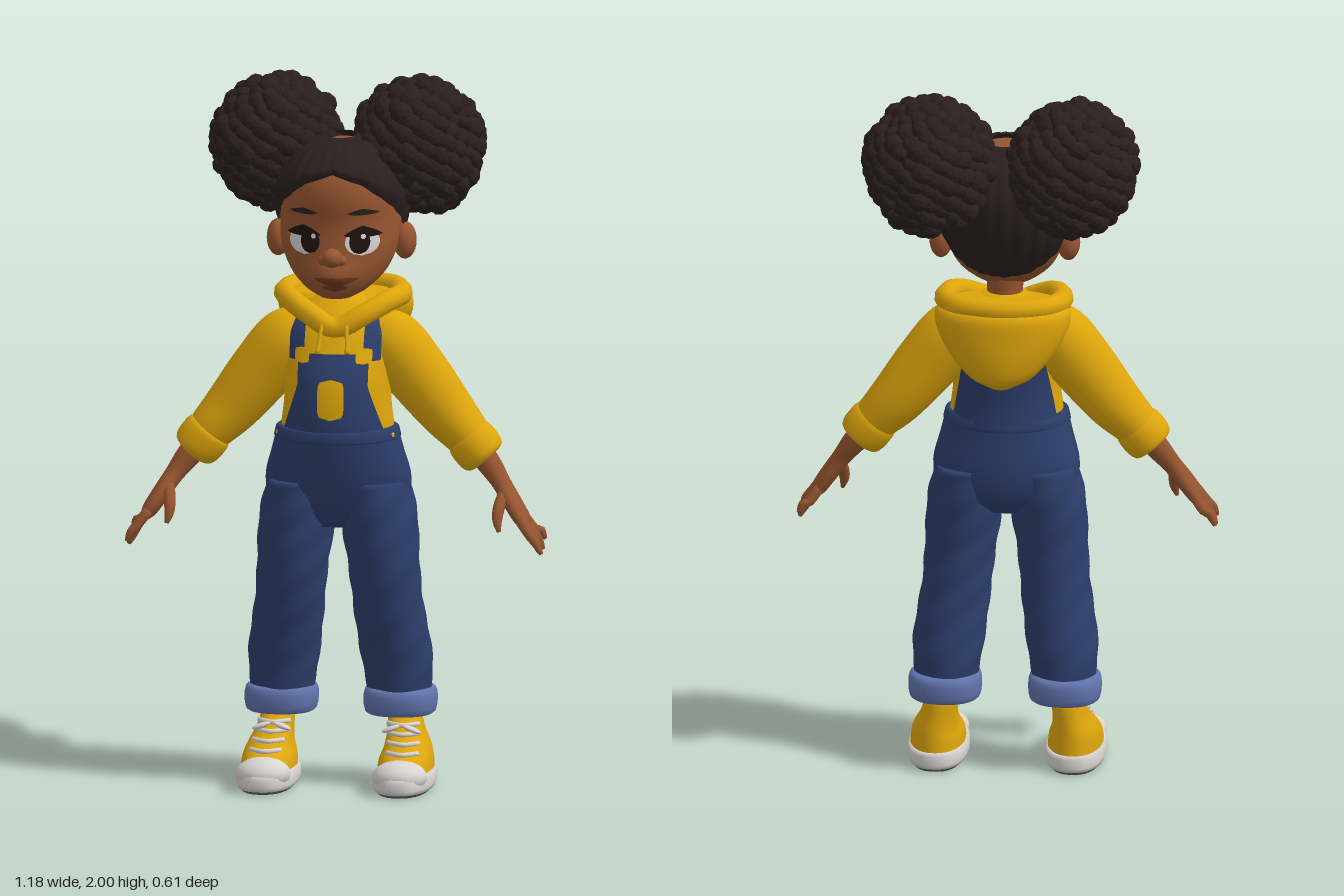
import * as THREE from 'three';
import { mergeGeometries } from 'three/addons/utils/BufferGeometryUtils.js';

const V = (x, y, z) => new THREE.Vector3(x, y, z);
const mat = (name, color, side = THREE.FrontSide) => new THREE.MeshStandardMaterial({ name, color, side });
const TAU = Math.PI * 2;

// Closed skin over rings of points, with capped ends
function skin(rings) {
  const n = rings[0].length, m = rings.length, pos = [], idx = [];
  rings.forEach(r => r.forEach(p => pos.push(p.x, p.y, p.z)));
  for (let i = 0; i < m - 1; i++) for (let j = 0; j < n; j++) {
    const a = i * n + j, b = i * n + (j + 1) % n, c = a + n, d = b + n;
    idx.push(a, c, b, b, c, d);
  }
  [0, m - 1].forEach((r, e) => {
    const c = rings[r].reduce((s, p) => s.add(p), V(0, 0, 0)).divideScalar(n), k = pos.length / 3;
    pos.push(c.x, c.y, c.z);
    for (let j = 0; j < n; j++) {
      const a = r * n + j, b = r * n + (j + 1) % n;
      e ? idx.push(k, b, a) : idx.push(k, a, b);
    }
  });
  const g = new THREE.BufferGeometry();
  g.setAttribute('position', new THREE.Float32BufferAttribute(pos, 3));
  g.setIndex(idx);
  g.computeVertexNormals();
  return g;
}

// Upright form from rows [y, centreX, halfWidth, backZ, frontZ], smoothed k times between rows
function form(rows, { k = 4, power = 2, wrinkle = 0, bump = () => 0 } = {}) {
  const A = new THREE.CatmullRomCurve3(rows.map(r => V(r[0], r[1], r[2])), false, 'catmullrom');
  const B = new THREE.CatmullRomCurve3(rows.map(r => V(r[3], r[4], 0)), false, 'catmullrom');
  const N = (rows.length - 1) * k, fine = [];
  for (let i = 0; i <= N; i++) {
    const a = A.getPoint(i / N), b = B.getPoint(i / N);
    fine.push([a.x, a.y, a.z, b.x, b.y]);
  }
  const at = y => {
    let i = 0;
    while (i < N - 1 && fine[i + 1][0] < y) i++;
    const p = fine[i], q = fine[i + 1], t = THREE.MathUtils.clamp((y - p[0]) / (q[0] - p[0]), 0, 1);
    return p.map((v, j) => v + (q[j] - v) * t);
  };
  const sp = v => Math.sign(v) * Math.abs(v) ** (2 / power);
  const point = (a, row, off = 0) => {
    const [y, cx, hw, zb, zf] = row, f = 1 + wrinkle * Math.sin(3 * a + y * 38) * Math.sin(y * 21 + a);
    const x = cx + (hw + off) * f * sp(Math.cos(a));
    const z = (zb + zf) / 2 + ((zf - zb) / 2 + off) * f * sp(Math.sin(a));
    return V(x, y, z + (Math.sin(a) > 0 ? bump(x, y) : 0));
  };
  const zAt = (x, y, side) => {
    const [, cx, hw, zb, zf] = at(y);
    return (zb + zf) / 2 + side * (zf - zb) / 2 * Math.sqrt(Math.max(0.03, 1 - ((x - cx) / hw) ** 2)) + (side > 0 ? bump(x, y) : 0);
  };
  const geo = (seg = 32) => skin(fine.map(r => Array.from({ length: seg }, (_, j) => point(j / seg * TAU, r))));
  return { at, point, zAt, geo };
}

// Limb along sections [x, y, z, radius across, radius in z]
function limb(secs, k = 4, seg = 16) {
  const A = new THREE.CatmullRomCurve3(secs.map(s => V(s[0], s[1], s[2])), false, 'catmullrom');
  const B = new THREE.CatmullRomCurve3(secs.map(s => V(s[3], s[4] ?? s[3], 0)), false, 'catmullrom');
  const N = (secs.length - 1) * k, rings = [];
  for (let i = 0; i <= N; i++) {
    const c = A.getPoint(i / N), r = B.getPoint(i / N), t = A.getTangent(i / N);
    const v = V(0, 0, 1).addScaledVector(t, -t.z).normalize(), u = t.clone().cross(v);
    rings.push(Array.from({ length: seg }, (_, j) => c.clone()
      .addScaledVector(u, r.x * Math.cos(j / seg * TAU)).addScaledVector(v, r.y * Math.sin(j / seg * TAU))));
  }
  return skin(rings);
}

// Thin panel following a form; w(t) is the half-width from bottom to top
function panel(f, side, cx, y0, y1, w, off, bend = 0) {
  const g = new THREE.PlaneGeometry(2, 1, 12, 14), p = g.attributes.position;
  for (let i = 0; i < p.count; i++) {
    const u = p.getX(i), t = p.getY(i) + 0.5, x = cx + side * u * w(t);
    const y = y0 + (y1 - y0) * t + bend * u * u;
    p.setXYZ(i, x, y, f.zAt(x, y, side) + side * off);
  }
  g.computeVertexNormals();
  return g;
}
const oval = (r, e = 2) => t => r * Math.max(0, 1 - Math.abs(2 * t - 1) ** e) ** (1 / e);

export function createModel() {
  const root = new THREE.Group();
  const M = {
    hair: mat('dark hair', 0x2a1f1e, THREE.DoubleSide), skin: mat('brown skin', 0x96552f),
    yellow: mat('yellow cloth', 0xdea60c), denim: mat('blue denim', 0x2c3e6b, THREE.DoubleSide),
    cuff: mat('light denim', 0x6073ab), white: mat('white rubber', 0xd8d4d2),
    sole: mat('grey sole', 0x4c4a4e), dark: mat('eye brown', 0x1f1210), lip: mat('lip brown', 0x6e3722),
  };
  const add = (name, geo, m) => {
    const o = new THREE.Mesh(geo, m);
    o.name = name;
    root.add(o);
    return o;
  };
  const ball = (name, m, x, y, z, a, b, c) => {
    const o = add(name, new THREE.SphereGeometry(1, 20, 14), m);
    o.position.set(x, y, z);
    o.scale.set(a, b, c);
    return o;
  };

  // Head with a soft muzzle, and the neck
  const head = form([[1.405, 0, .045, .06, .175], [1.43, 0, .09, .0, .2], [1.48, 0, .138, -.07, .21], [1.55, 0, .166, -.11, .208],
    [1.62, 0, .17, -.14, .203], [1.7, 0, .165, -.15, .213], [1.77, 0, .135, -.13, .19], [1.82, 0, .08, -.08, .12], [1.835, 0, .02, -.03, .05]],
    { bump: (x, y) => .02 * Math.exp(-(((y - 1.475) / .035) ** 2) - (x / .06) ** 2) });
  add('head', head.geo(40), M.skin);
  add('neck', limb([[0, 1.3, .02, .055], [0, 1.38, .03, .05], [0, 1.48, .03, .055]]), M.skin);
  ball('nose', M.skin, 0, 1.53, .217, .03, .027, .033);
  add('mouth', panel(head, 1, .01, 1.447, 1.459, oval(.062), .004, .016), M.lip);
  add('lowerLip', panel(head, 1, .008, 1.432, 1.446, oval(.035), .004, .006), M.lip);
  for (const s of [1, -1]) {
    ball('ear', M.skin, s * .18, 1.55, .02, .033, .053, .042);
    ball('nostril', M.skin, s * .024, 1.522, .205, .017, .016, .02);
    add('eyeWhite', panel(head, 1, s * .082, 1.535, 1.61, oval(.046), .004), M.white);
    const ix = s * .07 + .006;
    add('iris', panel(head, 1, ix, 1.54, 1.608, oval(.028), .007), M.dark);
    add('eyeGlint', panel(head, 1, ix + .01, 1.582, 1.597, oval(.007), .009), M.white);
    add('eyelash', panel(head, 1, s * .084, 1.607, 1.62, oval(.05), .008, -.02), M.dark);
    add('eyebrow', panel(head, 1, s * .085, 1.658, 1.669, oval(.042), .005, -.008), M.hair);
  }

  // Hair combed back over the skull, lower edge following the hairline
  const cap = new THREE.PlaneGeometry(1, 1, 96, 14), cp = cap.attributes.position;
  const line = [1.765, 1.735, 1.67, 1.6, 1.52, 1.475, 1.465];
  for (let i = 0; i < cp.count; i++) {
    const b = cp.getX(i) * TAU, t = cp.getY(i) + .5, h = Math.min(Math.abs(b) / Math.PI * 6, 5.999), q = Math.floor(h);
    const y0 = line[q] + (line[q + 1] - line[q]) * (h - q), y = y0 + (1.835 - y0) * t;
    const off = .006 + .016 * Math.min(1, t * 5) + .003 * Math.sin(b * 24);
    const p = head.point(Math.PI / 2 - b, head.at(y), off);
    cp.setXYZ(i, p.x, p.y + .012 * t, p.z);
  }
  cap.computeVertexNormals();
  add('combedHair', cap, M.hair);

  // Two puffs made of faceted curls
  let seed = 7;
  const rnd = () => (seed = (seed * 16807) % 2147483647) / 2147483647;
  for (const s of [1, -1]) {
    const curls = [], n = 230, c = V(s * .2, 1.8, -.093);
    for (let i = 0; i < n; i++) {
      const y = 1 - 2 * (i + .5) / n, r = Math.sqrt(1 - y * y), a = i * 2.39996, d = .95 + rnd() * .09;
      const g = new THREE.IcosahedronGeometry(.026 + rnd() * .01, 1);
      g.scale(1, .75 + rnd() * .4, 1).rotateX(rnd() * 6).rotateY(rnd() * 6);
      g.translate(c.x + r * Math.cos(a) * .162 * d, c.y + y * .17 * d, c.z + r * Math.sin(a) * .182 * d);
      g.computeVertexNormals();
      curls.push(g);
    }
    add('hairPuff', mergeGeometries(curls), M.hair);
    ball('puffCore', M.hair, c.x, c.y, c.z, .162, .17, .18);
  }

  // Hoodie body, draped hood and rolled neckline
  const torso = form([[.95, 0, .16, -.05, .22], [1.03, 0, .16, -.04, .235], [1.1, 0, .152, -.04, .235], [1.18, 0, .15, -.05, .222],
    [1.25, 0, .156, -.06, .19], [1.31, 0, .155, -.065, .16], [1.36, 0, .11, -.05, .12], [1.4, 0, .06, -.03, .08]]);
  add('hoodieBody', torso.geo(36), M.yellow);
  add('hood', form([[1.16, 0, .03, -.15, -.08], [1.19, 0, .09, -.18, -.04], [1.25, 0, .145, -.19, 0], [1.32, 0, .185, -.19, .05],
    [1.37, 0, .19, -.185, .07], [1.395, 0, .16, -.16, .05]]).geo(36), M.yellow);
  const rim = [[0, 1.315, .15], [.07, 1.35, .135], [.14, 1.385, .075], [.165, 1.39, -.02], [.125, 1.395, -.11], [0, 1.395, -.15]];
  const loop = [...rim, ...rim.slice(1, 5).reverse().map(p => [-p[0], p[1], p[2]])].map(p => V(...p));
  add('hoodRim', new THREE.TubeGeometry(new THREE.CatmullRomCurve3(loop, true), 60, .031, 10, true), M.yellow);

  // Overalls: hips, bib, back panel and waistband
  add('overallHips', form([[.75, 0, .12, 0, .17], [.8, 0, .19, -.045, .195], [.88, 0, .207, -.057, .222], [.96, 0, .188, -.05, .24],
    [1.02, 0, .172, -.045, .25], [1.035, 0, .166, -.042, .246]]).geo(36), M.denim);
  add('waistband', form([[1.0, 0, .174, -.047, .25], [1.005, 0, .18, -.052, .255], [1.03, 0, .174, -.05, .255], [1.036, 0, .165, -.04, .245]], { k: 1 }).geo(36), M.denim);
  add('bib', panel(torso, 1, 0, 1.01, 1.25, t => .15 - .05 * Math.min(1, t * 1.6), .013), M.denim);
  add('bibHem', panel(torso, 1, 0, 1.232, 1.252, () => .1, .019), M.denim);
  add('backPanel', panel(torso, -1, 0, 1.01, 1.3, t => .15 - .05 * t, .012), M.denim);
  add('bibPatch', panel(torso, 1, 0, 1.07, 1.185, oval(.038, 4), .019), M.yellow);
  for (const s of [1, -1]) {
    add('shoulderStrap', panel(torso, 1, s * .107, 1.23, 1.345, () => .023, .013), M.denim);
    add('strapBuckle', panel(torso, 1, s * .088, 1.225, 1.268, oval(.022, 4), .024), M.yellow);
    ball('waistButton', M.yellow, s * .155, 1.015, .15, .014, .014, .014);
    add('drawstring', limb([[s * .035, 1.33, .175, .006], [s * .04, 1.28, .193, .006], [s * .042, 1.255, .205, .008]], 3, 8), M.yellow);

    // Sleeve, rolled cuff and arm
    add('sleeve', limb([[s * .09, 1.31, .05, .06, .06], [s * .145, 1.265, .055, .092, .085], [s * .22, 1.175, .055, .091, .082], [s * .3, 1.075, .055, .08, .076],
      [s * .355, 1.015, .063, .068, .07], [s * .395, .97, .068, .058, .062]], 5, 22), M.yellow);
    add('sleeveCuff', limb([[s * .36, 1.01, .066, .05, .05], [s * .368, 1.0, .066, .068, .071], [s * .395, .967, .069, .071, .072],
      [s * .413, .945, .07, .063, .066], [s * .418, .939, .07, .045, .045]], 3, 22), M.yellow);
    add('armAndPalm', limb([[s * .385, .98, .07, .038], [s * .43, .925, .083, .034], [s * .465, .877, .098, .027, .031],
      [s * .5, .825, .118, .025, .048], [s * .53, .78, .131, .022, .052], [s * .545, .757, .135, .012, .042]], 4, 16), M.skin);
    for (let i = 0; i < 4; i++) {
      const z = .093 + i * .027, tip = .685 + [.03, .008, 0, .014][i], dz = (i - 1.5) * .012;
      add('finger', limb([[s * .528, .785, z, .015], [s * .557, .745, z + dz * .6, .014], [s * .575, tip + .025, z + dz, .012],
        [s * .586, tip, z + dz * 1.2, .006]], 3, 8), M.skin);
    }
    add('thumb', limb([[s * .477, .855, .125, .016], [s * .468, .82, .165, .017], [s * .466, .785, .187, .014], [s * .472, .755, .198, .006]], 3, 8), M.skin);

    // Trouser leg with folds, turned-up hem and ankle
    add('trouserLeg', form([[.24, s * .167, .086, -.06, .125], [.33, s * .163, .097, -.062, .14], [.41, s * .155, .1, -.052, .158], [.52, s * .14, .1, -.037, .183],
      [.65, s * .128, .102, -.033, .207], [.78, s * .115, .106, -.046, .213], [.88, s * .105, .095, -.045, .205]], { k: 7, wrinkle: .035 }).geo(32), M.denim);
    add('trouserHem', form([[.2, s * .169, .085, -.06, .12], [.207, s * .169, .099, -.077, .138], [.24, s * .169, .104, -.082, .144],
      [.268, s * .169, .1, -.078, .14], [.277, s * .169, .087, -.062, .125]], { k: 2, power: 2.3 }).geo(28), M.cuff);
    add('ankle', limb([[s * .178, .15, .015, .036, .042], [s * .176, .19, .018, .037, .045], [s * .172, .24, .022, .045, .055]]), M.skin);

    // Shoe
    const x = s * .194;
    add('shoeBottom', form([[0, x, .072, -.055, .285], [.008, x, .08, -.062, .295]], { k: 1, power: 2.4 }).geo(36), M.sole);
    add('shoeSole', form([[.008, x, .081, -.063, .296], [.02, x, .086, -.067, .302], [.045, x, .085, -.067, .302], [.056, x, .077, -.061, .292]],
      { k: 1, power: 2.4 }).geo(36), M.white);
    ball('toeCap', M.white, x, .05, .226, .078, .047, .07);
    const upper = form([[.045, x, .079, -.061, .275], [.085, x, .074, -.058, .24], [.115, x, .064, -.055, .185], [.155, x - s * .008, .052, -.05, .12],
      [.192, x - s * .014, .047, -.046, .08], [.197, x - s * .014, .042, -.04, .072]], { power: 2.2 });
    add('shoeUpper', upper.geo(32), M.yellow);
    for (let i = 0; i < 4; i++) {
      const y = .105 + i * .022, z = upper.at(y)[4], c = upper.at(y)[1];
      add('lace', limb([[c - .044, y + .004, z - .03, .007], [c, y + .004, z + .004, .007], [c + .044, y + .004, z - .03, .007]], 4, 8), M.white);
    }
    for (const e of [1, -1]) {
      const bow = ball('laceBow', M.white, x - s * .01 + e * .03, .168, .125, .027, .008, .013);
      bow.rotation.z = e * -.35;
    }
  }
  root.name = 'girlInOveralls';
  return root;
}
